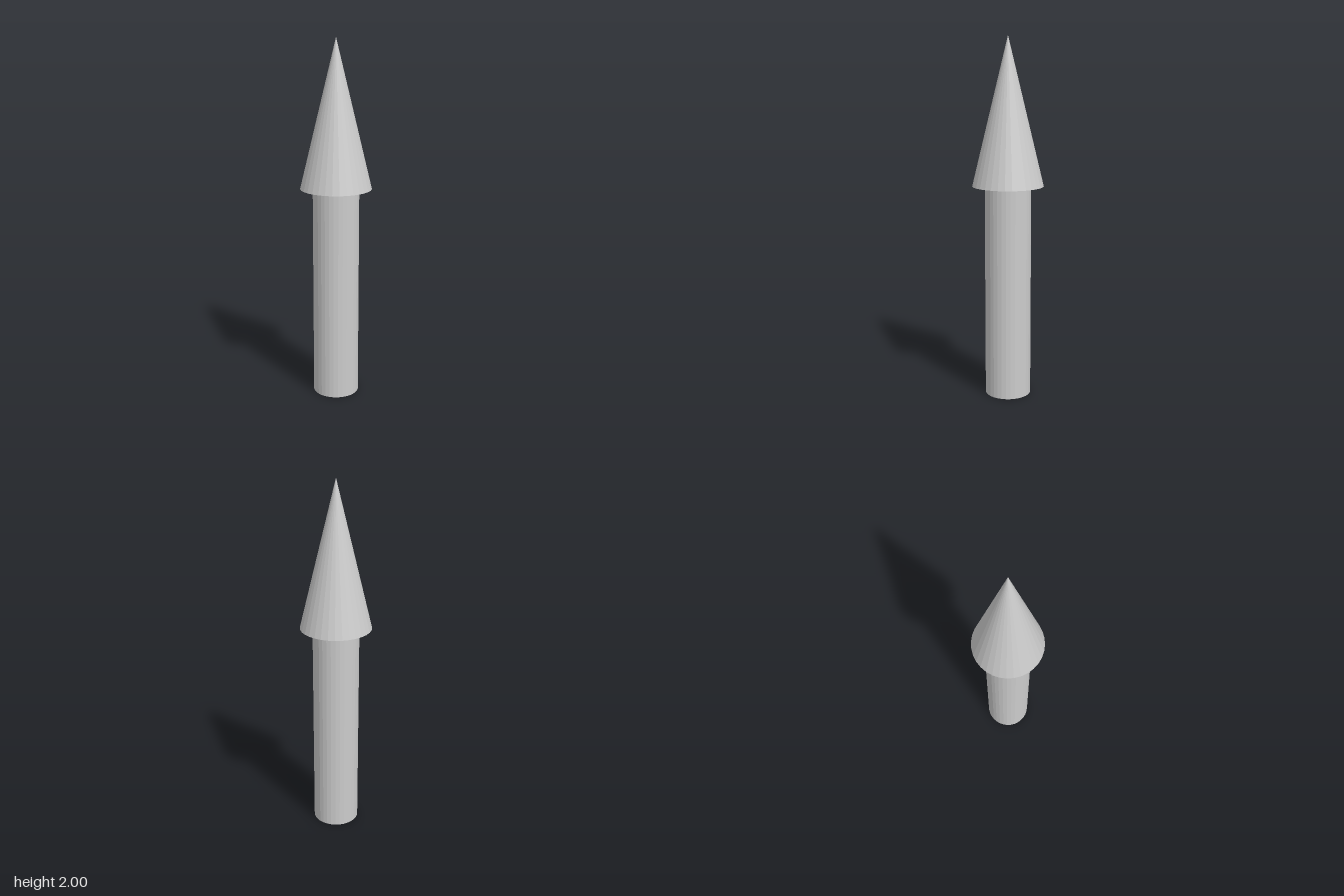
import * as THREE from 'three';

const SIDES = 32;

export function createModel() {
  const group = new THREE.Group();
  group.name = 'arrow';
  const material = new THREE.MeshStandardMaterial({
    color: 0xcccccc, flatShading: true, side: THREE.DoubleSide,
  });

  // Adds a round part standing between two heights
  const addPart = (name, topRadius, bottomRadius, bottom, top, open) => {
    const geometry = new THREE.CylinderGeometry(
      topRadius, bottomRadius, top - bottom, SIDES, 1, open);
    const mesh = new THREE.Mesh(geometry, material);
    mesh.name = name;
    mesh.position.y = (bottom + top) / 2;
    group.add(mesh);
  };

  // Shaft, running up into the hollow head
  addPart('shaft', 0.128, 0.128, 0, 1.4, false);

  // Pointed head, open underneath
  addPart('head', 0, 0.197, 1.19, 2, true);

  return group;
}
